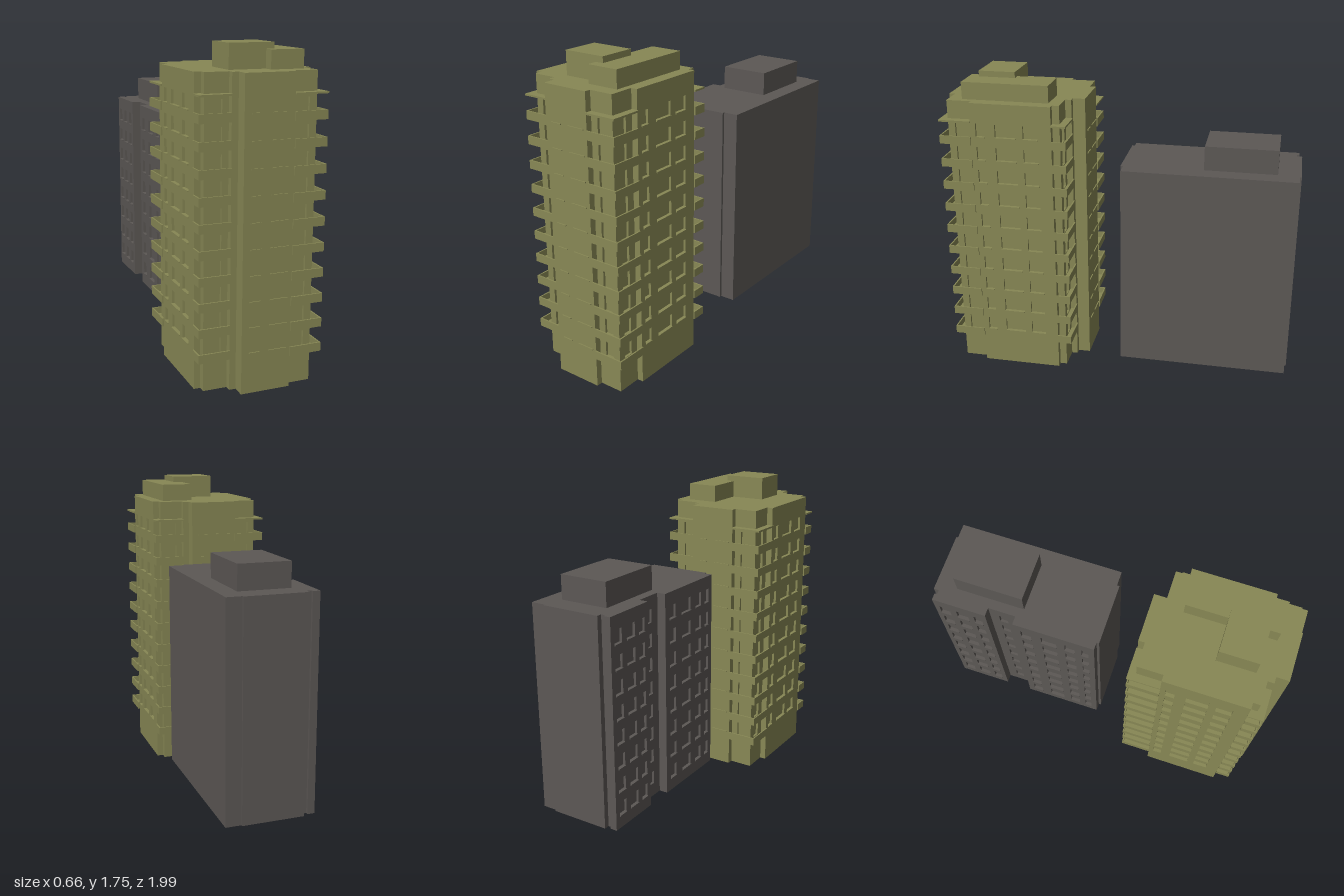
import * as THREE from 'three';

const olive = new THREE.MeshStandardMaterial({ color: 0x888855, side: THREE.DoubleSide });
const grey = new THREE.MeshStandardMaterial({ color: 0x5c5855, side: THREE.DoubleSide });
const STOREY = 0.135;

function mesh(name, geometry, material) {
  const m = new THREE.Mesh(geometry, material);
  m.name = name;
  return m;
}

// Box given by its minimum and maximum corners
function block(name, [x0, y0, z0], [x1, y1, z1], material) {
  const m = mesh(name, new THREE.BoxGeometry(x1 - x0, y1 - y0, z1 - z0), material);
  m.position.set((x0 + x1) / 2, (y0 + y1) / 2, (z0 + z1) / 2);
  return m;
}

// Window recess: a box without its front face
function recessGeometry(w, h, d) {
  const g = new THREE.BoxGeometry(w, h, d);
  const index = Array.from(g.index.array);
  index.splice(24, 6);
  g.setIndex(index);
  g.clearGroups();
  return g;
}

// Flat wall from plan point a to b; openings are [u, y, width, height], sills the same without a hole
function wall(name, a, b, y0, y1, material, openings = [], sills = []) {
  const group = new THREE.Group();
  group.name = name;
  const dx = b[0] - a[0], dz = b[1] - a[1], length = Math.hypot(dx, dz), depth = 0.014;
  const shape = new THREE.Shape([[0, y0], [length, y0], [length, y1], [0, y1]].map(p => new THREE.Vector2(...p)));
  for (const [u, y, w, h] of openings) {
    shape.holes.push(new THREE.Path([[u, y], [u, y + h], [u + w, y + h], [u + w, y]].map(p => new THREE.Vector2(...p))));
    const recess = mesh('windowRecess', recessGeometry(w, h, depth), material);
    recess.position.set(u + w / 2, y + h / 2, -depth / 2);
    group.add(recess);
  }
  for (const [u, y, w] of sills) group.add(block('windowSill', [u, y - 0.006, 0], [u + w, y, 0.006], material));
  group.add(mesh('wallPanel', new THREE.ShapeGeometry(shape), material));
  group.position.set(a[0], 0, a[1]);
  group.rotation.y = Math.atan2(-dz, dx);
  return group;
}

// Flat roof over a plan outline
function roof(points, y, material) {
  const g = new THREE.ShapeGeometry(new THREE.Shape(points.map(([x, z]) => new THREE.Vector2(x, -z))));
  g.rotateX(-Math.PI / 2);
  g.translate(0, y, 0);
  return mesh('roof', g, material);
}

// Repeats columns [u, width] of openings on every storey
function windowGrid(columns, firstY, floors, h) {
  const list = [];
  for (let i = 0; i < floors; i++) for (const [u, w] of columns) list.push([u, firstY + i * STOREY, w, h]);
  return list;
}

// Corner balcony wrapping an outer corner (cx, cz); sx points outwards in x, +z is outwards in z
function balcony(cx, cz, sx, lx, lz, y, parapet) {
  const group = new THREE.Group();
  group.name = parapet ? 'balcony' : 'balconyCanopy';
  const d = 0.042, t = 0.008;
  const part = (name, w0, w1, z0, z1, h) => {
    const xs = [cx - sx * w0, cx - sx * w1].sort((p, q) => p - q);
    group.add(block(name, [xs[0], y, cz - z1], [xs[1], y + h, cz - z0], olive));
  };
  part('balconySlab', 0, lx, 0, d, 0.01);
  part('balconySlab', 0, d, d, lz, 0.01);
  if (parapet) {
    part('balconyParapet', 0, lx, 0, t, 0.047);
    part('balconyParapet', 0, t, t, lz, 0.047);
  }
  return group;
}

function createTower() {
  const tower = new THREE.Group();
  tower.name = 'tower';
  const top = 1.625, turnZ = 1.19;
  // Half of the plan; the other half is the same turned by 180 degrees
  const half = [
    [-0.32, 0.84], [-0.285, 0.84], [-0.285, 0.88], [-0.155, 0.88], [-0.155, 0.915], [-0.12, 0.915],
    [-0.12, 0.985], [0.15, 0.985], [0.15, 0.95], [0.285, 0.95], [0.285, 0.81], [0.32, 0.81],
  ];
  const outline = [...half, ...half.map(([x, z]) => [-x, turnZ - z])];

  const sideWindows = windowGrid([[0.03, 0.05], [0.14, 0.12], [0.3, 0.085]], 0.22, 10, 0.075);
  const doors = windowGrid([[0.04, 0.055]], 0.185, 10, 0.095);
  const frontSills = windowGrid([[0.04, 0.06], [0.15, 0.1]], 0.22, 10, 0);
  const openings = { 2: doors, 8: doors, 9: doors, 11: sideWindows };
  const sills = { 6: frontSills, 11: sideWindows };

  const makeHalf = () => {
    const g = new THREE.Group();
    g.name = 'towerHalf';
    half.forEach((p, i) => g.add(wall('towerWall', p, outline[i + 1], 0, top, olive, openings[i], sills[i])));
    for (let i = 0; i <= 10; i++) {
      const y = 0.17 + i * STOREY - (i === 10 ? 0.008 : 0);
      g.add(balcony(-0.328, 0.922, -1, 0.173, 0.082, y, i < 10));
      g.add(balcony(0.328, 0.991, 1, 0.178, 0.181, y, i < 10));
    }
    return g;
  };
  const other = makeHalf();
  other.rotation.y = Math.PI;
  other.position.z = turnZ;
  tower.add(makeHalf(), other, roof(outline, top, olive));

  // Rooftop plant rooms
  tower.add(block('tallRoofRoom', [-0.13, top, 0.605], [0.115, 1.755, 0.815], olive));
  tower.add(block('longRoofRoom', [0.07, top, 0.378], [0.25, 1.722, 0.872], olive));
  return tower;
}

function createSlabBlock() {
  const building = new THREE.Group();
  building.name = 'greyBuilding';
  const bottom = 0.125, top = 1.295;
  const outline = [
    [-0.155, -0.035], [-0.11, -0.035], [-0.11, -0.02], [0.25, -0.02], [0.25, -0.035], [0.335, -0.035],
    [0.335, -0.99], [0.25, -0.99], [0.25, -1], [-0.09, -1], [-0.09, -0.97], [-0.115, -0.97],
    [-0.115, -0.985], [-0.155, -0.985], [-0.155, -0.67], [-0.105, -0.67], [-0.105, -0.51], [-0.155, -0.51],
  ];
  const windows = {
    13: windowGrid([[0.03, 0.06], [0.13, 0.07], [0.235, 0.05]], 0.2, 8, 0.075),
    15: windowGrid([[0.055, 0.05]], 0.2, 8, 0.075),
    17: windowGrid([[0.04, 0.06], [0.16, 0.09], [0.3, 0.06], [0.4, 0.04]], 0.2, 8, 0.075),
  };
  outline.forEach((p, i) => {
    const next = outline[(i + 1) % outline.length];
    building.add(wall('greyWall', p, next, bottom, top, grey, windows[i], i === 15 ? [] : windows[i]));
  });
  building.add(roof(outline, top, grey));
  building.add(block('greyRoofRoom', [-0.05, top, -0.875], [0.235, 1.43, -0.478], grey));
  return building;
}

export function createModel() {
  const model = new THREE.Group();
  model.name = 'apartmentBuildings';
  model.add(createTower(), createSlabBlock());
  return model;
}
